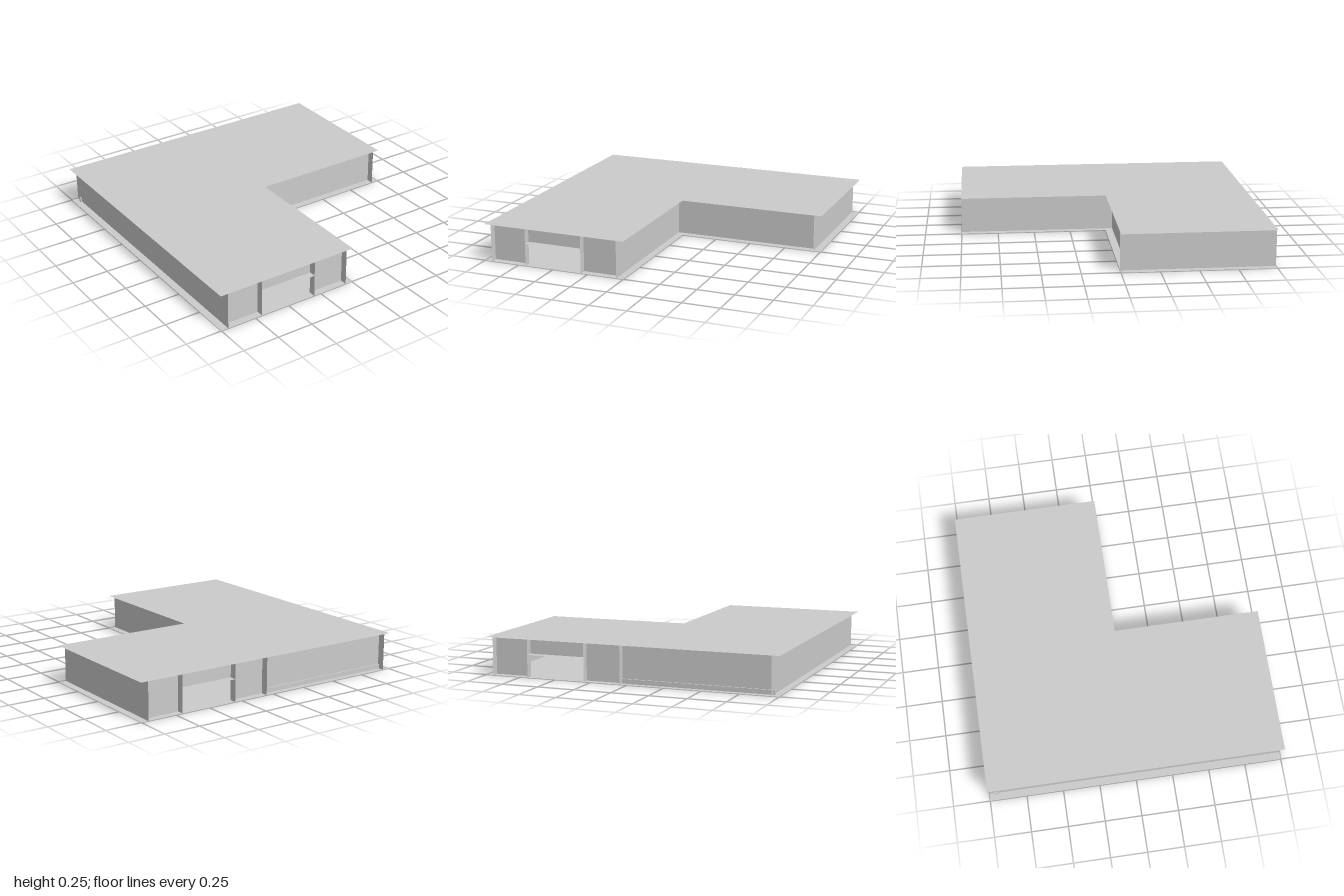
import * as THREE from 'three';

const H = 0.25, IN = 0.05, OPEN = 0.15;

export function createModel() {
  const house = new THREE.Group();
  house.name = 'house';
  const mat = new THREE.MeshStandardMaterial({ color: 0xcccccc, side: THREE.DoubleSide, flatShading: true });

  function add(name, geo) {
    const mesh = new THREE.Mesh(geo, mat);
    mesh.name = name;
    house.add(mesh);
    return mesh;
  }

  // Thin sheet across x at depth z
  function wallX(name, x0, x1, z, y0 = 0, y1 = H) {
    add(name, new THREE.PlaneGeometry(x1 - x0, y1 - y0)).position.set((x0 + x1) / 2, (y0 + y1) / 2, z);
  }

  // Thin sheet along z at position x
  function wallZ(name, x, z0, z1) {
    add(name, new THREE.PlaneGeometry(z1 - z0, H).rotateY(Math.PI / 2)).position.set(x, H / 2, (z0 + z1) / 2);
  }

  // L-shaped floor and roof sheets
  const plan = new THREE.Shape([[-1, -1], [1, -1], [1, 0], [0, 0], [0, 1], [-1, 1]].map(p => new THREE.Vector2(...p)));
  for (const [name, y] of [['floor', 0], ['roof', H]]) {
    add(name, new THREE.ShapeGeometry(plan).rotateX(Math.PI / 2)).position.y = y;
  }

  // Side walls run out to the roof edges
  wallZ('rightWall', -1 + IN, -1, 1);
  wallZ('leftWall', 1 - IN, -1, 0);
  wallZ('wingInnerWall', -IN, -IN, 1);
  wallX('courtyardWall', -IN, 1 - IN, -IN);

  // Front and back walls, each with an opening, ledge and two fins
  function openWall(name, x0, x1, a, b, side) {
    const z = side * (1 - IN);
    wallX(name, x0, a, z);
    wallX(name, b, x1, z);
    wallX(name + 'Lintel', a, b, z, OPEN, H);
    add(name + 'Ledge', new THREE.PlaneGeometry(b - a, IN).rotateX(-Math.PI / 2))
      .position.set((a + b) / 2, OPEN, side * (1 - IN / 2));
    for (const x of [a, b]) wallZ(name + 'Fin', x, Math.min(z, side), Math.max(z, side));
  }
  openWall('frontWall', -1 + IN, -IN, -0.7, -0.3, 1);
  openWall('backWall', -1 + IN, 1 - IN, 0.3, 0.7, -1);
  wallZ('backDividerFin', IN, -1, -1 + IN);

  // Low kerb at the foot of the back wall
  add('backKerb', new THREE.BoxGeometry(1.01, 0.03, 0.02)).position.set(-0.455, 0.015, -0.95);

  return house;
}
